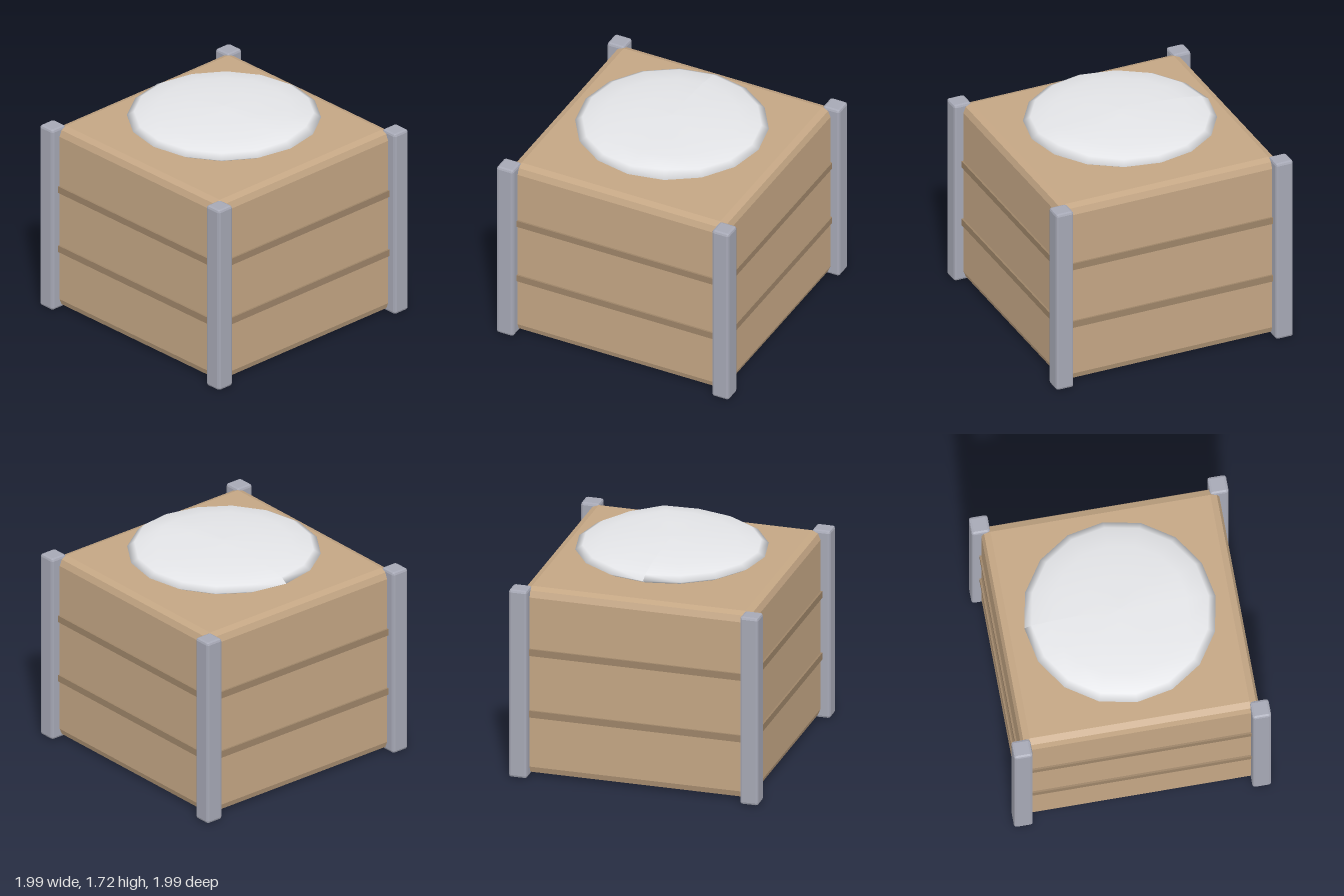
import * as THREE from 'three';
import { RoundedBoxGeometry } from 'three/addons/geometries/RoundedBoxGeometry.js';

const wood = new THREE.MeshStandardMaterial({ color: 0xc4a684, flatShading: true });
const trim = new THREE.MeshStandardMaterial({ color: 0x9d8468, flatShading: true });
const metal = new THREE.MeshStandardMaterial({ color: 0xa6a8b5, flatShading: true });
const fabric = new THREE.MeshStandardMaterial({ color: 0xe4e5e8 });

const BOTTOM = 0.01, TOP = 1.55;

function addMesh(group, name, geometry, material, x, y, z) {
  const mesh = new THREE.Mesh(geometry, material);
  mesh.name = name;
  mesh.position.set(x, y, z);
  group.add(mesh);
  return mesh;
}

// Flattened low-poly sphere with a slight swelling on one side of the top
function cushionGeometry() {
  const geometry = new THREE.SphereGeometry(0.74, 16, 8);
  geometry.scale(1, 0.086 / 0.74, 1);
  const p = geometry.attributes.position;
  for (let i = 0; i < p.count; i++) {
    const x = p.getX(i), y = p.getY(i), z = p.getZ(i);
    if (y > 0.005) {
      const d2 = (x - 0.6) ** 2 + (z + 0.25) ** 2;
      p.setY(i, y + 0.024 * Math.exp(-d2 / 0.06));
    }
  }
  geometry.computeVertexNormals();
  return geometry;
}

export function createModel() {
  const model = new THREE.Group();
  model.name = 'crateWithCushion';

  // Crate body with bevelled edges
  const height = TOP - BOTTOM;
  const middle = (TOP + BOTTOM) / 2;
  addMesh(model, 'crateBody', new RoundedBoxGeometry(1.84, height - 0.01, 1.84, 1, 0.07), wood, 0, middle, 0);

  // Horizontal bands running round all four sides
  for (const y of [0.522, 1.028]) {
    addMesh(model, 'band', new THREE.BoxGeometry(1.87, 0.055, 1.87), trim, 0, y, 0);
  }

  // Corner posts
  const postGeometry = new RoundedBoxGeometry(0.146, height, 0.146, 1, 0.02);
  for (const x of [-0.922, 0.922]) {
    for (const z of [-0.922, 0.922]) {
      addMesh(model, 'cornerPost', postGeometry, metal, x, middle, z);
    }
  }

  // Round cushion on top
  addMesh(model, 'cushion', cushionGeometry(), fabric, 0, 1.643, 0);
  return model;
}
